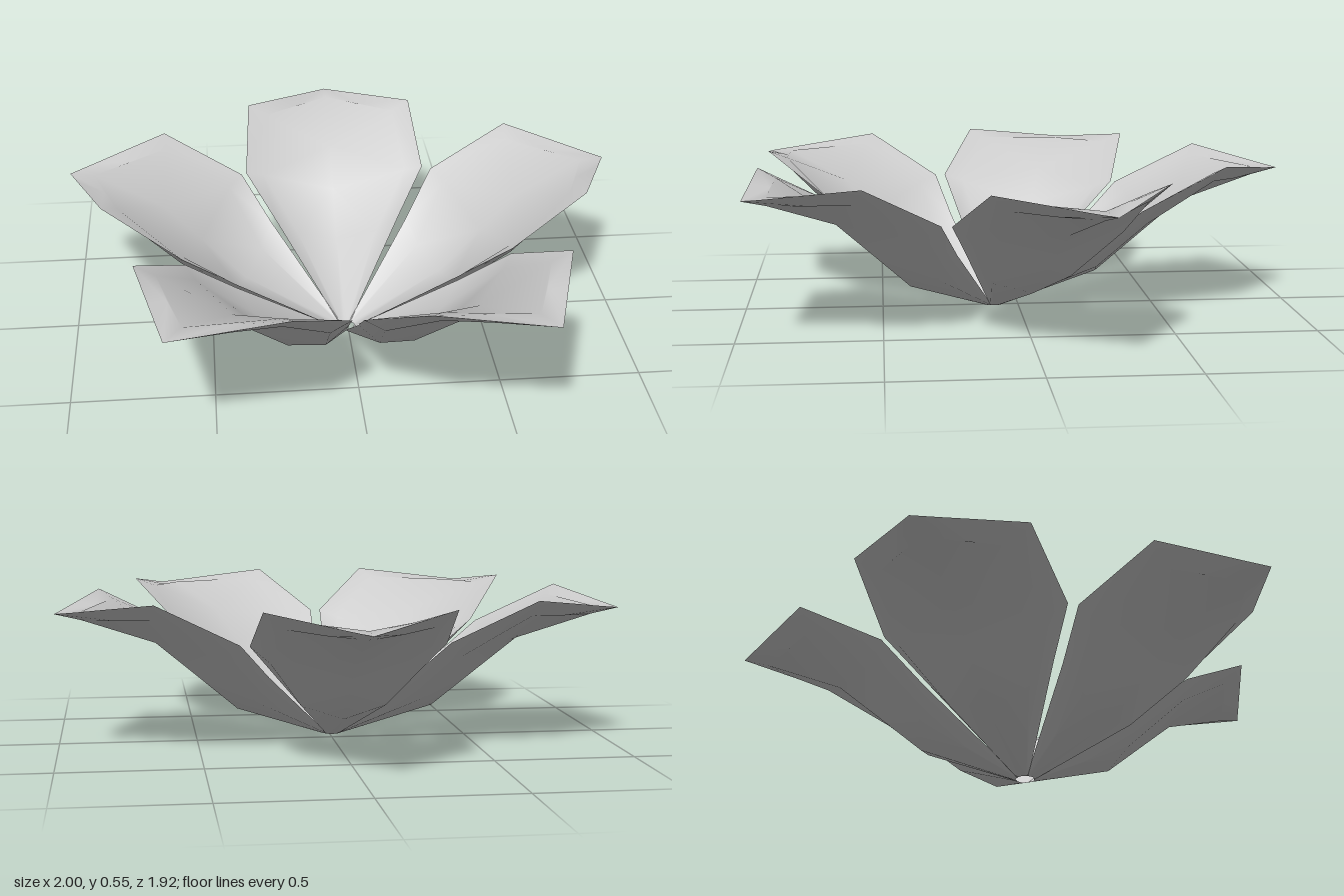
import * as THREE from 'three';

// Half a petal as cross-sections from base to tip: [x, y, distance from centre]
// for the outer edge, the rim fold and the midline.
const SECTIONS = [
  [[0.022, 0, 0.025], [0.012, 0, 0.03], [0, 0, 0.035]],
  [[0.235, 0.265, 0.35], [0.15, 0.165, 0.365], [0, 0.12, 0.38]],
  [[0.342, 0.4, 0.5], [0.275, 0.345, 0.53], [0, 0.263, 0.55]],
  [[0.32, 0.55, 0.8], [0.25, 0.49, 0.77], [0, 0.38, 0.69]],
  [[0.16, 0.525, 0.928], [0.125, 0.48, 0.87], [0, 0.475, 0.96]],
  [[0.16, 0.525, 0.928], [0.08, 0.512, 0.992], [0, 0.5, 1.056]],
];

// One skin of a petal; the inner skin is lifted away from the shared outline.
function petalSkin(lift, up) {
  const positions = [];
  const indices = [];
  SECTIONS.forEach(([edge, fold, mid], row) => {
    const raise = row === 0 || row === SECTIONS.length - 1 ? 0 : lift;
    const add = ([x, y, r], side, dy) => positions.push(side * x, y + dy, -r);
    add(edge, -1, 0);
    add(fold, -1, raise);
    add(mid, 1, raise);
    add(fold, 1, raise);
    add(edge, 1, 0);
  });
  for (let row = 0; row < SECTIONS.length - 1; row++) {
    for (let col = 0; col < 4; col++) {
      const a = row * 5 + col, b = a + 1, c = a + 5, d = a + 6;
      // mirrored diagonals keep both halves alike
      const tris = col < 2 ? [a, b, d, a, d, c] : [a, b, c, b, d, c];
      indices.push(...(up ? tris : tris.reverse()));
    }
  }
  const geometry = new THREE.BufferGeometry();
  geometry.setAttribute('position', new THREE.Float32BufferAttribute(positions, 3));
  geometry.setIndex(indices);
  geometry.computeVertexNormals();
  return geometry;
}

export function createModel() {
  const flower = new THREE.Group();
  flower.name = 'flower';
  const material = new THREE.MeshStandardMaterial({ color: 0xcccccc, side: THREE.DoubleSide });
  const skins = { innerSkin: petalSkin(0.03, true), outerSkin: petalSkin(0, false) };

  // Five petals fanned around a small open centre
  for (let i = 0; i < 5; i++) {
    const petal = new THREE.Group();
    petal.name = `petal${i + 1}`;
    for (const [name, geometry] of Object.entries(skins)) {
      const mesh = new THREE.Mesh(geometry, material);
      mesh.name = name;
      petal.add(mesh);
    }
    petal.position.set(-0.01, 0, 0.09);
    petal.rotation.y = -THREE.MathUtils.degToRad(0.5 + 72.3 * i);
    flower.add(petal);
  }
  return flower;
}
